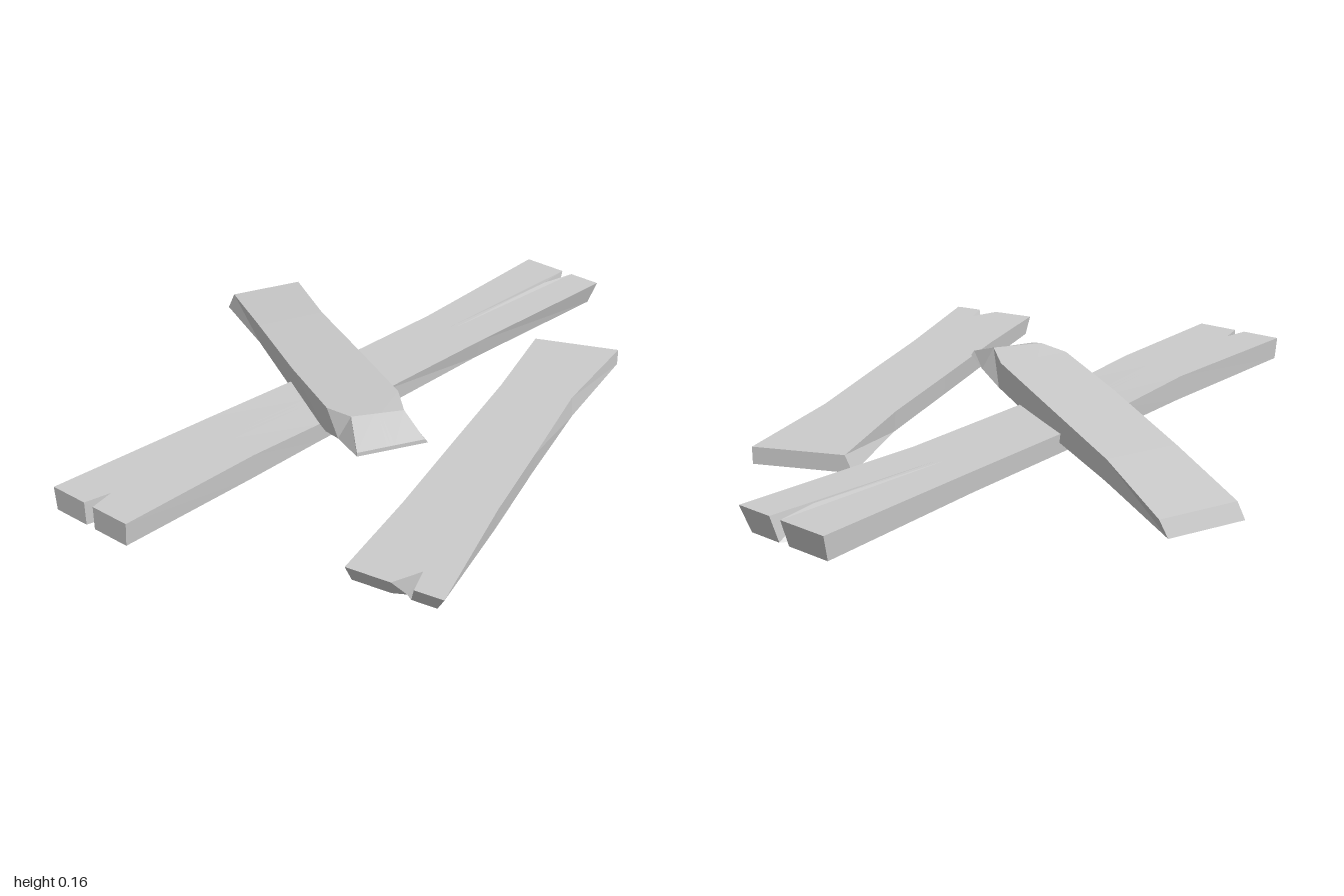
import * as THREE from 'three';

const material = new THREE.MeshStandardMaterial({ color: 0xcccccc, flatShading: true });
const mix = (p, q, t) => [p[0] + (q[0] - p[0]) * t, p[1] + (q[1] - p[1]) * t];

// Loft a rough plank through sections. Each section has plan corners a and b ([x, z]),
// top and bottom heights, bottom insets (fractions of the width), an optional shift of
// the bottom edge, and at an end an optional split: lips (fractions) and tip (top, bottom).
function plank(name, sections) {
  const rings = sections.map((s) => {
    const { a, b, top, bot, inset = [0.02, 0.02], shift = [0, 0], lips = [0.44, 0.56] } = s;
    const ts = [0, lips[0], (lips[0] + lips[1]) / 2, lips[1], 1];
    const a2 = mix(a, b, inset[0]), b2 = mix(b, a, inset[1]);
    const upper = ts.map((t) => mix(a, b, t));
    const lower = ts.map((t) => mix(a2, b2, t)).map(([x, z]) => [x + shift[0], z + shift[1]]);
    if (s.tip) {
      lower[2] = mix(lower[2], s.tip, s.tipDepth);
      upper[2] = s.tip;
    }
    return [...upper.map(([x, z]) => [x, top, z]), ...lower.reverse().map(([x, z]) => [x, bot, z])];
  });
  const pos = [];
  const quad = (p, q, r, s) => pos.push(...p, ...q, ...r, ...p, ...r, ...s);
  const n = 10;
  // Long faces
  for (let i = 0; i < rings.length - 1; i++) {
    for (let k = 0; k < n; k++) {
      const m = (k + 1) % n;
      quad(rings[i][k], rings[i][m], rings[i + 1][m], rings[i + 1][k]);
    }
  }
  // End faces
  const first = rings[0], last = rings[rings.length - 1];
  for (let j = 0; j < 4; j++) {
    quad(first[j], first[9 - j], first[8 - j], first[j + 1]);
    quad(last[j], last[j + 1], last[8 - j], last[9 - j]);
  }
  const geometry = new THREE.BufferGeometry();
  geometry.setAttribute('position', new THREE.Float32BufferAttribute(pos, 3));
  geometry.computeVertexNormals();
  const mesh = new THREE.Mesh(geometry, material);
  mesh.name = name;
  return mesh;
}

export function createModel() {
  const group = new THREE.Group();
  group.name = 'brokenPlanks';

  // Long plank lying flat, split at both ends
  group.add(plank('longPlank', [
    { a: [-1, 0.05], b: [-0.88, 0.305], top: 0.08, bot: 0.01, lips: [0.43, 0.55], tip: [-0.87, 0.145], tipDepth: 0.9 },
    { a: [-0.5, -0.12], b: [-0.46, 0.13], top: 0.08, bot: 0.005 },
    { a: [-0.2, -0.24], b: [-0.22, 0.03], top: 0.066, bot: 0.005 },
    { a: [0.04, -0.33], b: [0.03, -0.07], top: 0.065, bot: 0.005 },
    { a: [0.38, -0.46], b: [0.45, -0.23], top: 0.067, bot: 0.005, inset: [0.02, 0.06] },
    { a: [0.89, -0.68], b: [1, -0.41], top: 0.082, bot: 0.01, inset: [0.02, 0.08], shift: [-0.015, 0.006],
      lips: [0.5, 0.63], tip: [0.84, -0.49], tipDepth: 0.2 },
  ]));

  // Separate plank in front, split at its left-hand end
  group.add(plank('frontPlank', [
    { a: [-0.44, 0.7], b: [-0.28, 0.93], top: 0.065, bot: 0.01, inset: [0.03, 0.1], shift: [0.02, -0.02],
      lips: [0.47, 0.7], tip: [-0.25, 0.8], tipDepth: 0.2 },
    { a: [-0.18, 0.5], b: [0.03, 0.64], top: 0.066, bot: 0.005 },
    { a: [0.1, 0.27], b: [0.26, 0.44], top: 0.066, bot: 0.005 },
    { a: [0.37, 0.05], b: [0.52, 0.21], top: 0.066, bot: 0.005, inset: [0.02, -0.02] },
    { a: [0.625, -0.18], b: [0.82, 0], top: 0.06, bot: 0.01, inset: [-0.08, 0] },
  ]));

  // Tilted plank resting across the long one, with a wedge-shaped front end
  group.add(plank('leaningPlank', [
    { a: [-0.22, 0.295], b: [-0.02, 0.31], top: 0.116, bot: 0.104, inset: [0, -0.05] },
    { a: [-0.18, 0.17], b: [-0.03, 0.2], top: 0.155, bot: 0.09, inset: [-0.25, -0.24] },
    { a: [-0.215, 0.08], b: [0.01, 0.08], top: 0.146, bot: 0.07, inset: [-0.02, -0.03] },
    { a: [-0.195, -0.22], b: [0.035, -0.22], top: 0.12, bot: 0.045, inset: [0, -0.03] },
    { a: [-0.155, -0.6], b: [0.065, -0.6], top: 0.086, bot: 0.025, inset: [0, -0.01] },
    { a: [-0.12, -0.92], b: [0.115, -0.92], top: 0.05, bot: 0, inset: [-0.07, 0.08], shift: [0, -0.014] },
  ]));

  return group;
}
